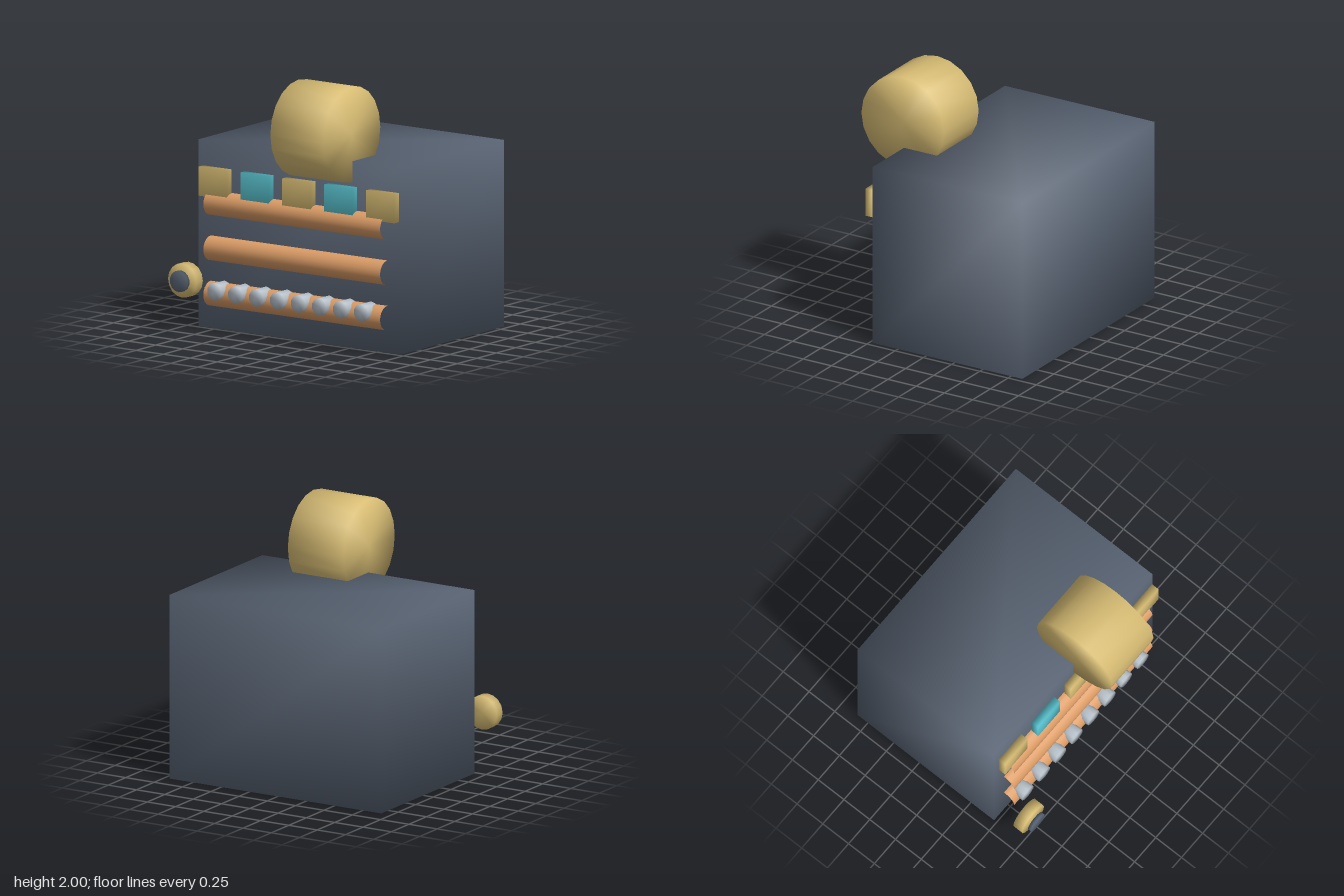
import * as THREE from 'three';
import { mergeVertices } from 'three/addons/utils/BufferGeometryUtils.js';

// Weld all corners so shading runs smoothly over every edge
function soften(geometry) {
  geometry.deleteAttribute('normal');
  geometry.deleteAttribute('uv');
  const welded = mergeVertices(geometry, 1e-4);
  welded.computeVertexNormals();
  return welded;
}

function material(name, color) {
  const m = new THREE.MeshStandardMaterial({ color });
  m.name = name;
  return m;
}

export function createModel() {
  const model = new THREE.Group();
  model.name = 'machine';

  const slate = material('slate', 0x5a6575);
  const gold = material('gold', 0xd8bd74);
  const copper = material('copper', 0xdb9c66);
  const cyan = material('cyan', 0x5ac5d2);
  const silver = material('silver', 0xb4bdc6);

  function add(name, geometry, mat, x, y, z) {
    const mesh = new THREE.Mesh(geometry, mat);
    mesh.name = name;
    mesh.position.set(x, y, z);
    model.add(mesh);
    return mesh;
  }

  const box = (w, h, d) => soften(new THREE.BoxGeometry(w, h, d));
  // Cylinders lying along x or along z
  const alongX = (r, length, sides, open = false) =>
    soften(new THREE.CylinderGeometry(r, r, length, sides, 1, open).rotateZ(Math.PI / 2));
  const alongZ = (r, length, sides) =>
    soften(new THREE.CylinderGeometry(r, r, length, sides).rotateX(Math.PI / 2));

  // Cabinet
  add('body', box(1.871, 1.429, 1.325), slate, 0.0225, 0.7145, -0.1875);

  // Large drum on the front top edge
  add('drum', alongX(0.366, 0.49, 20), gold, 0.269, 1.634, 0.486);

  // Three open-ended rails half sunk into the front
  const railGeometry = alongX(0.0935, 1.635, 20, true);
  for (const y of [0.268, 0.615, 0.962]) add('rail', railGeometry, copper, 0.0215, y, 0.481);

  // Row of alternating blocks above the top rail
  const blockGeometry = box(0.264, 0.222, 0.061);
  for (let i = 0; i < 5; i++) {
    add('block', blockGeometry, i % 2 ? cyan : gold, 0.042 + (i - 2) * 0.387, 1.126, 0.512);
  }

  // Pegs along the bottom rail
  const pegGeometry = alongZ(0.068, 0.13, 10);
  for (let i = 0; i < 8; i++) add('peg', pegGeometry, silver, -0.672 + i * 0.194, 0.309, 0.541);

  // Knob with a dark front disc
  add('knob', alongZ(0.131, 0.084, 16), gold, -0.836, 0.408, 0.748);
  add('knobDisc', alongZ(0.082, 0.026, 14), slate, -0.836, 0.408, 0.822);

  return model;
}
